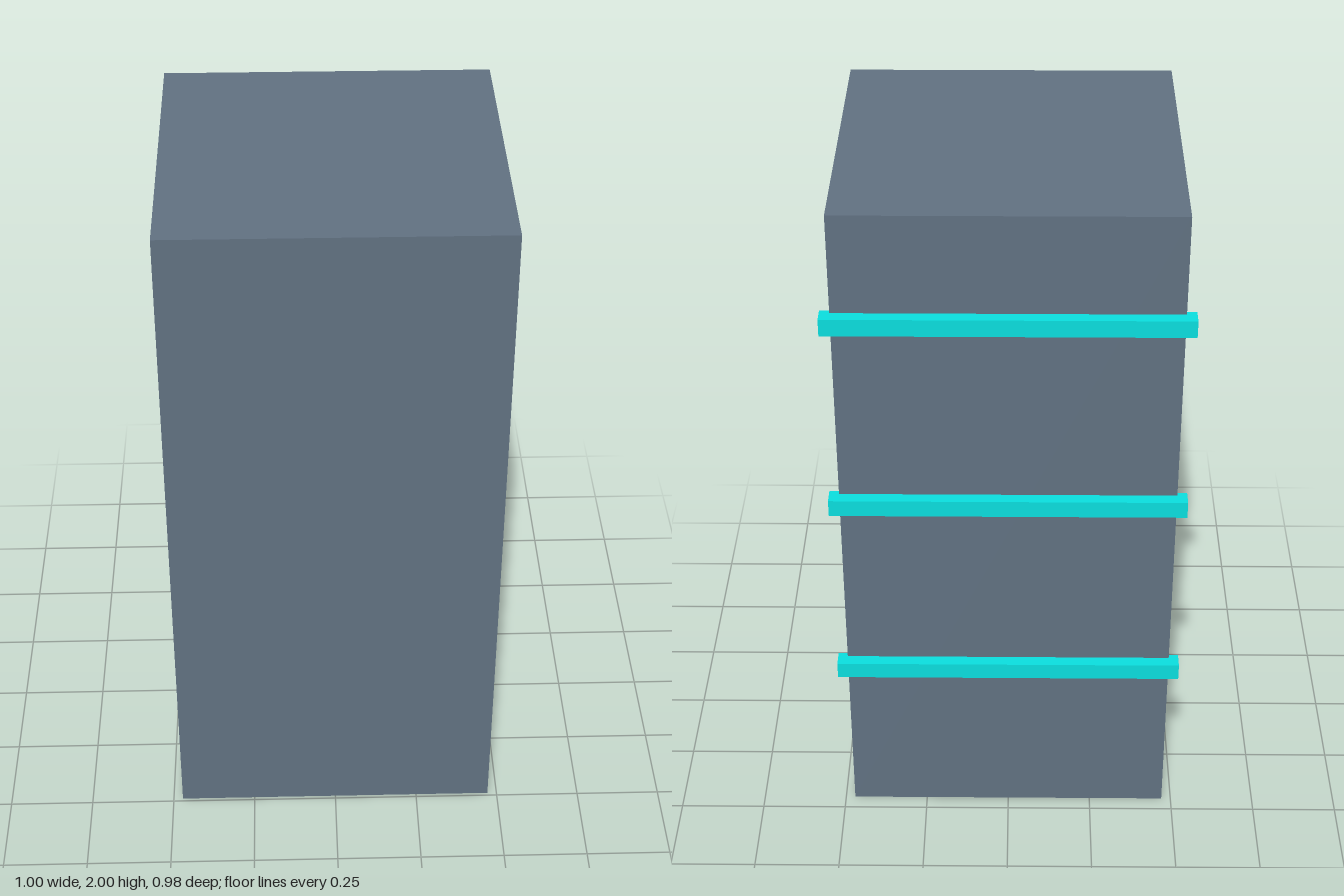
import * as THREE from 'three';

export function createModel() {
  const model = new THREE.Group();
  const bodyMaterial = new THREE.MeshStandardMaterial({ color: 0x607080 });
  const stripMaterial = new THREE.MeshStandardMaterial({ color: 0x0adcdc });

  function addBox(name, size, position, material) {
    const mesh = new THREE.Mesh(new THREE.BoxGeometry(...size), material);
    mesh.name = name;
    mesh.position.set(...position);
    model.add(mesh);
  }

  // Tall cabinet body
  addBox('cabinetBody', [0.944, 2, 0.944], [0, 1, 0.018], bodyMaterial);

  // Three bright strips across the back, slightly wider than the body
  ['lowerStrip', 'middleStrip', 'upperStrip'].forEach((name, i) => {
    addBox(name, [1, 0.05, 0.05], [0, 0.53 + i * 0.579, -0.465], stripMaterial);
  });

  return model;
}
